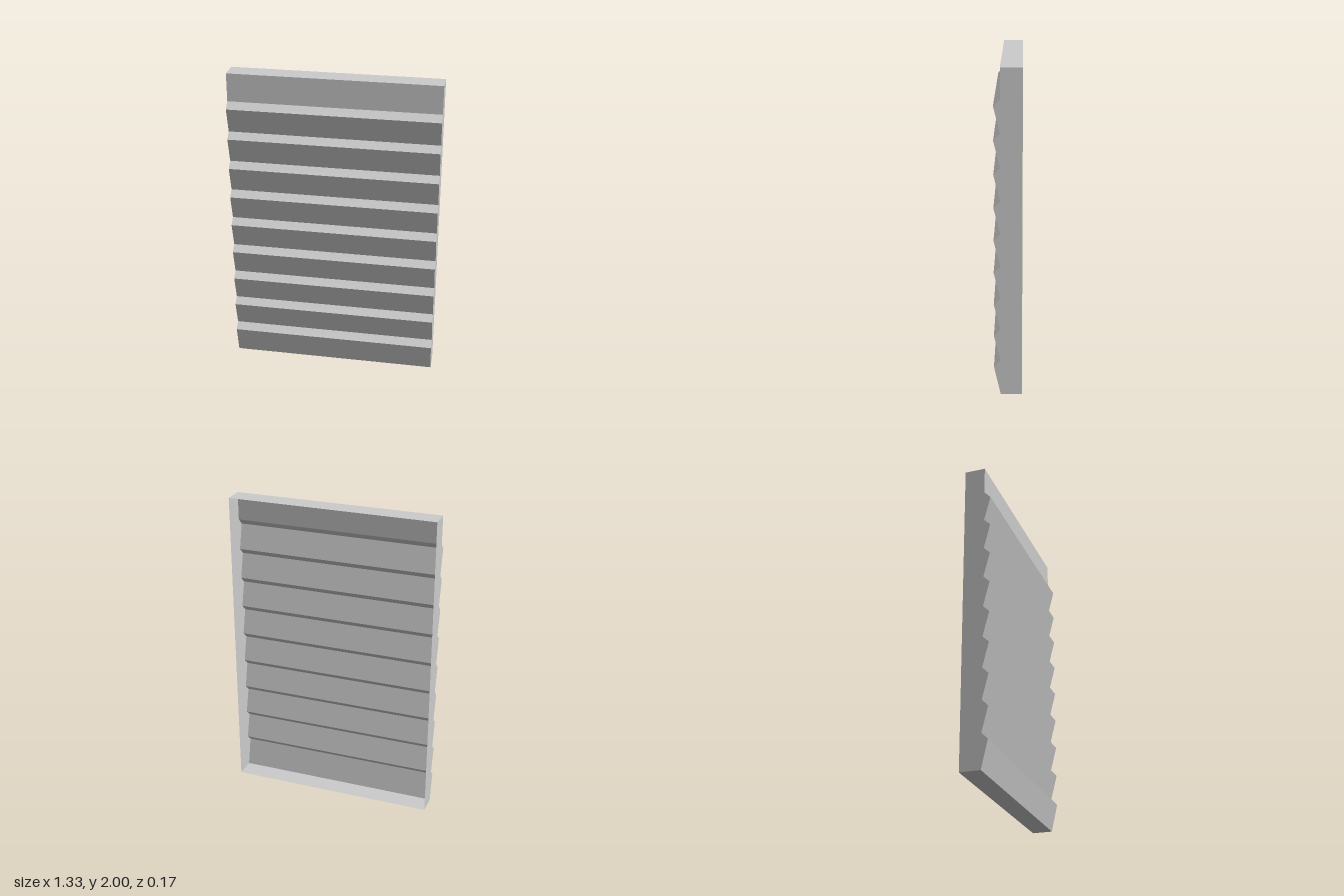
import * as THREE from 'three';

const HALF_WIDTH = 0.667;
const HEIGHT = 2;
const BACK = -0.085;
const VALLEY = 0.045;
const RIDGE = 0.085;
const SLATS = 9;
const PITCH = 0.2;

const material = new THREE.MeshStandardMaterial({ color: 0xcccccc, flatShading: true, side: THREE.DoubleSide });

// Sweep a [z, y] profile across the full width as flat facets
function sheet(name, profile) {
  const positions = [];
  for (let i = 0; i < profile.length - 1; i++) {
    const [z0, y0] = profile[i];
    const [z1, y1] = profile[i + 1];
    const a = [-HALF_WIDTH, y0, z0], b = [HALF_WIDTH, y0, z0];
    const c = [HALF_WIDTH, y1, z1], d = [-HALF_WIDTH, y1, z1];
    positions.push(...a, ...b, ...c, ...a, ...c, ...d);
  }
  const geometry = new THREE.BufferGeometry();
  geometry.setAttribute('position', new THREE.Float32BufferAttribute(positions, 3));
  geometry.computeVertexNormals();
  const mesh = new THREE.Mesh(geometry, material);
  mesh.name = name;
  return mesh;
}

// Flat end wall cut to the slat outline; side is +1 (left) or -1 (right)
function sideWall(name, profile, side) {
  const outline = [[BACK, 0], ...profile, [BACK, HEIGHT]];
  const shape = new THREE.Shape(outline.map(([z, y]) => new THREE.Vector2(-side * z, y)));
  const geometry = new THREE.ShapeGeometry(shape);
  geometry.rotateY(side * Math.PI / 2);
  geometry.translate(side * HALF_WIDTH, 0, 0);
  const mesh = new THREE.Mesh(geometry, material);
  mesh.name = name;
  return mesh;
}

export function createModel() {
  const group = new THREE.Group();
  group.name = 'louveredPanel';

  // Sawtooth profile: each slat leans out, then steps back to the valley
  const profile = [[VALLEY, 0]];
  for (let i = 1; i <= SLATS; i++) {
    profile.push([RIDGE, i * PITCH - 0.02], [VALLEY, i * PITCH + 0.02]);
  }
  profile.push([VALLEY, HEIGHT]);

  // Thin shell, open at the back
  group.add(
    sheet('slattedFront', profile),
    sheet('bottomWall', [[BACK, 0], [VALLEY, 0]]),
    sheet('topWall', [[VALLEY, HEIGHT], [BACK, HEIGHT]]),
    sideWall('leftWall', profile, 1),
    sideWall('rightWall', profile, -1)
  );
  return group;
}
